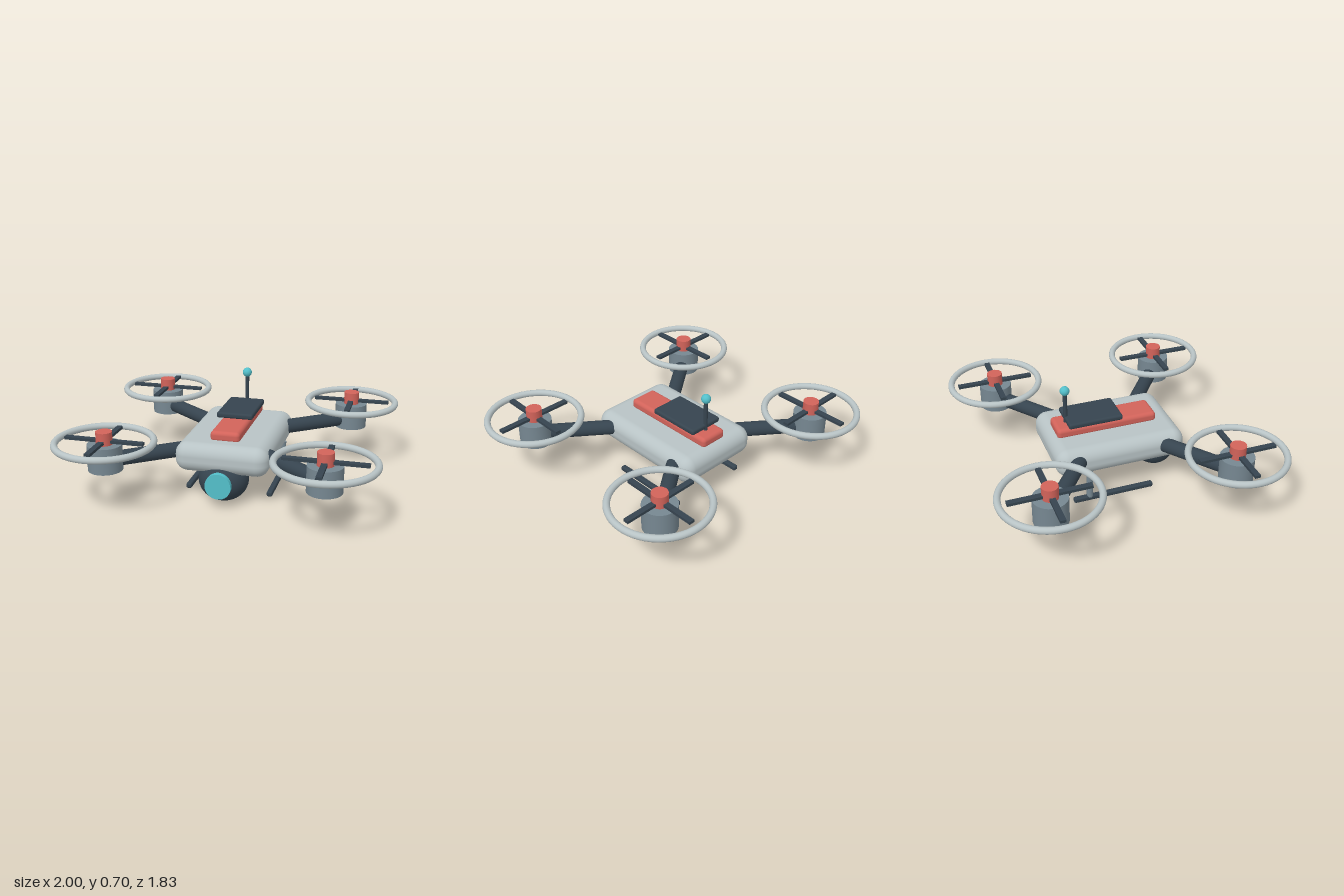
import * as THREE from 'three';
import { RoundedBoxGeometry } from 'three/addons/geometries/RoundedBoxGeometry.js';

const material = (name, color) => {
  const m = new THREE.MeshStandardMaterial({ color });
  m.name = name;
  return m;
};

export function createModel() {
  const shell = material('light grey', 0xb8c3c5);
  const steel = material('steel grey', 0x768791);
  const dark = material('dark slate', 0x36444f);
  const red = material('coral red', 0xd2635a);
  const cyan = material('cyan', 0x53bfca);

  const model = new THREE.Group();
  model.name = 'quadcopter';

  const add = (parent, name, geometry, mat, x = 0, y = 0, z = 0) => {
    const mesh = new THREE.Mesh(geometry, mat);
    mesh.name = name;
    mesh.position.set(x, y, z);
    parent.add(mesh);
    return mesh;
  };
  const rounded = (w, h, d, r) => new RoundedBoxGeometry(w, h, d, 5, r);
  const cylinder = (r, h, sides = 32) => new THREE.CylinderGeometry(r, r, h, sides);

  // Fuselage with battery strip and top panel
  add(model, 'body', rounded(0.6, 0.19, 0.86, 0.08), shell, 0, 0.295, 0);
  add(model, 'batteryStrip', rounded(0.19, 0.07, 0.67, 0.025), red, 0, 0.41, -0.035);
  add(model, 'topPanel', rounded(0.24, 0.037, 0.36, 0.014), dark, 0, 0.472, -0.12);

  // Antenna
  add(model, 'antennaMast', cylinder(0.0135, 0.23, 16), dark, 0, 0.545, -0.29);
  add(model, 'antennaTip', new THREE.SphereGeometry(0.031, 24, 16), cyan, 0, 0.673, -0.29);

  // Camera ball and lens under the nose
  const ball = add(model, 'cameraBall', new THREE.SphereGeometry(1, 40, 28), dark, 0, 0.15, 0.32);
  ball.scale.set(0.16, 0.142, 0.142);
  const lens = add(model, 'cameraLens', cylinder(0.083, 0.05, 40), cyan, 0, 0.149, 0.445);
  lens.rotation.x = Math.PI / 2;

  // Four arms, each carrying a motor, propeller and guard ring
  const rotorX = 0.677, rotorZ = 0.593;
  for (const sx of [-1, 1]) for (const sz of [-1, 1]) {
    const side = (sz > 0 ? 'front' : 'back') + (sx > 0 ? 'Left' : 'Right');

    const inner = new THREE.Vector3(sx * 0.2, 0.31, sz * 0.232);
    const outer = new THREE.Vector3(sx * rotorX, 0.31, sz * rotorZ);
    const along = outer.clone().sub(inner);
    const arm = add(model, side + 'Arm', cylinder(0.048, along.length(), 24), dark);
    arm.position.copy(inner).lerp(outer, 0.5);
    arm.quaternion.setFromUnitVectors(new THREE.Vector3(0, 1, 0), along.normalize());

    const rotor = new THREE.Group();
    rotor.name = side + 'Rotor';
    rotor.position.set(sx * rotorX, 0, sz * rotorZ);
    model.add(rotor);
    add(rotor, 'motor', cylinder(0.108, 0.165), steel, 0, 0.3325, 0);
    add(rotor, 'bladeAcross', new THREE.BoxGeometry(0.51, 0.018, 0.036), dark, 0, 0.436, 0);
    add(rotor, 'bladeAlong', new THREE.BoxGeometry(0.036, 0.018, 0.51), dark, 0, 0.436, 0);
    add(rotor, 'hub', cylinder(0.051, 0.085, 24), red, 0, 0.453, 0);
    const guard = add(rotor, 'guardRing', new THREE.TorusGeometry(0.301, 0.0215, 14, 56), shell, 0, 0.425, 0);
    guard.rotation.x = Math.PI / 2;
  }

  // Landing skids, one strut per rail
  for (const sx of [-1, 1]) {
    const side = sx > 0 ? 'left' : 'right';
    add(model, side + 'SkidStrut', cylinder(0.021, 0.2, 20), steel, sx * 0.27, 0.125, -0.222);
    add(model, side + 'SkidRail', rounded(0.037, 0.034, 0.54, 0.011), dark, sx * 0.27, 0.017, -0.06);
  }

  return model;
}
